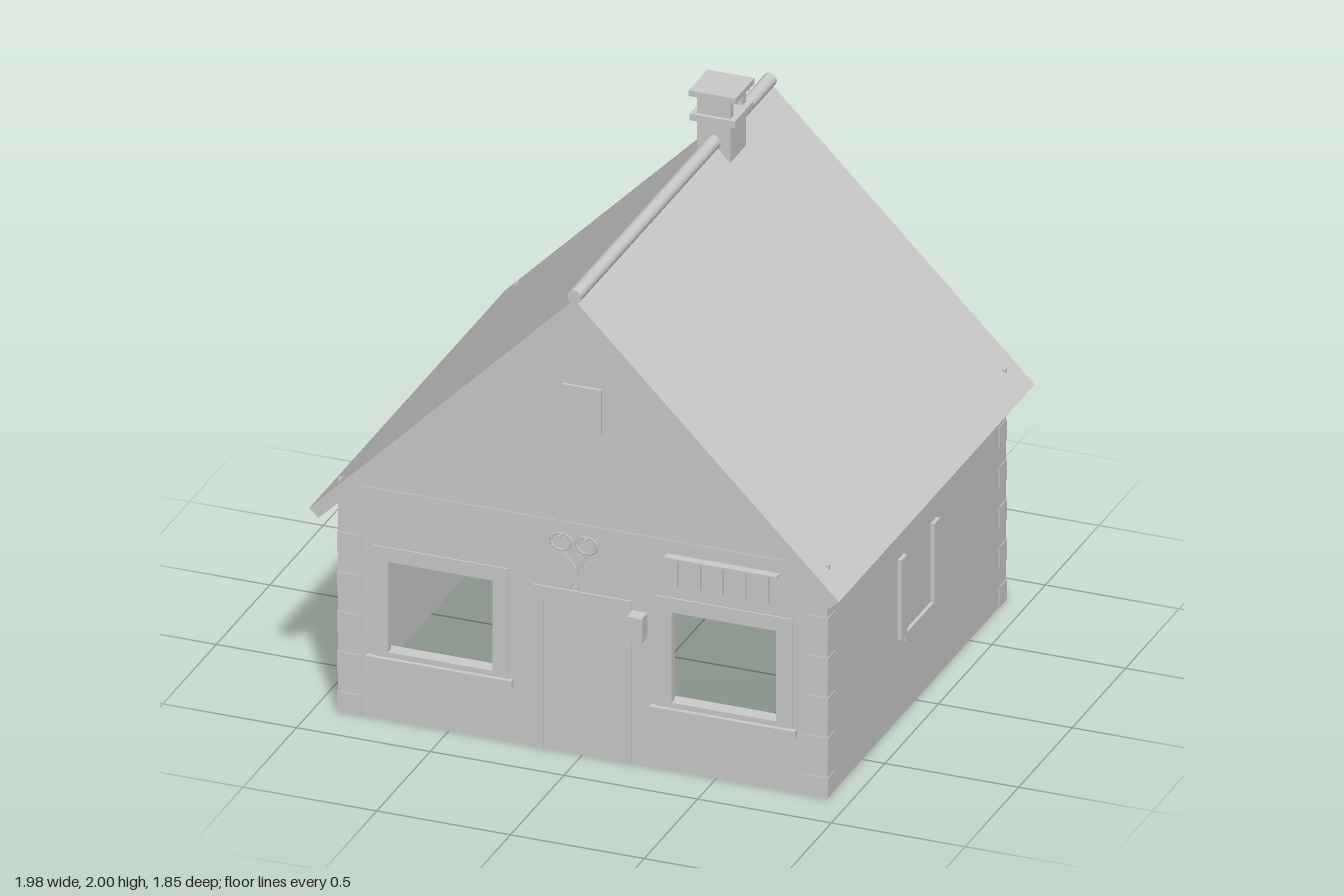
import * as THREE from 'three';

const grey = new THREE.MeshStandardMaterial({ color: 0xcccccc });
grey.name = 'plain grey';

const FRONT = 0.825, BACK = -0.845, SIDE = 0.915, T = 0.02;

function add(parent, name, geometry, x = 0, y = 0, z = 0) {
  const m = new THREE.Mesh(geometry, grey);
  m.name = name;
  m.position.set(x, y, z);
  parent.add(m);
  return m;
}

// box given by its min and max on each axis
function box(parent, name, x0, x1, y0, y1, z0, z1) {
  return add(parent, name, new THREE.BoxGeometry(x1 - x0, y1 - y0, z1 - z0),
    (x0 + x1) / 2, (y0 + y1) / 2, (z0 + z1) / 2);
}

function poly(points) {
  return new THREE.Shape(points.map(([x, y]) => new THREE.Vector2(x, y)));
}

const rect = (x0, x1, y0, y1) => poly([[x0, y0], [x1, y0], [x1, y1], [x0, y1]]);

function plate(shape, depth, holes = []) {
  shape.holes.push(...holes);
  return new THREE.ExtrudeGeometry(shape, { depth, bevelEnabled: false });
}

// closed window with side planks and a sill, facing +z
function shutteredWindow(parent, name, x, z, turn) {
  const g = new THREE.Group();
  g.name = name;
  for (const s of [-1, 1]) {
    const a = s * 0.127, b = s * 0.18;
    box(g, 'sidePlank', Math.min(a, b), Math.max(a, b), 0.31, 0.62, -T, 0.015);
  }
  box(g, 'sill', -0.132, 0.132, 0.285, 0.315, -T, 0.012);
  add(g, 'pane', new THREE.PlaneGeometry(0.26, 0.31), 0, 0.465, -0.001);
  g.position.set(x, 0, z);
  g.rotation.y = turn;
  parent.add(g);
}

function buildWalls(house) {
  const lower = () => poly([[-SIDE, 0], [SIDE, 0], [SIDE, 0.81], [0.835, 0.89], [-0.835, 0.89], [-SIDE, 0.81]]);
  const gable = () => poly([[-0.835, 0.89], [0.835, 0.89], [0, 1.73]]);
  add(house, 'frontWall', plate(lower(), T, [
    rect(-0.725, -0.335, 0.265, 0.615), rect(0.335, 0.725, 0.265, 0.615)]), 0, 0, FRONT - T);
  add(house, 'backWall', plate(lower(), T, [rect(0.3, 0.56, 0.31, 0.62)]), 0, 0, BACK);
  add(house, 'frontGable', plate(gable(), T), 0, 0, FRONT - T - 0.003);
  add(house, 'backGable', plate(gable(), T), 0, 0, BACK + 0.003);
  for (const x of [SIDE, -SIDE + T]) {
    const wall = add(house, 'sideWall', plate(rect(BACK + T, FRONT - T, 0, 0.82), T,
      [rect(-0.1425, 0.1175, 0.31, 0.62)]), x, 0, 0);
    wall.rotation.y = -Math.PI / 2;
  }
  // corner stones on every second row
  for (const s of [-1, 1]) {
    for (const [z0, z1] of [[FRONT - 0.07, FRONT + 0.003], [BACK - 0.003, BACK + 0.07]]) {
      for (let row = 0; row < 5; row++) {
        const y = row * 0.155;
        const a = s * (SIDE + 0.003), b = s * (SIDE - 0.09);
        box(house, 'cornerStone', Math.min(a, b), Math.max(a, b), y, y + 0.078, z0, z1);
      }
    }
  }
}

function buildOpenings(house) {
  for (const s of [-1, 1]) {
    const c = s * 0.53;
    // open front window: thin surround, outer sill, inner shelf
    add(house, 'frontWindowFrame', plate(rect(c - 0.255, c + 0.255, 0.245, 0.67), 0.006,
      [rect(c - 0.195, c + 0.195, 0.265, 0.615)]), 0, 0, FRONT);
    box(house, 'frontWindowSill', c - 0.272, c + 0.272, 0.217, 0.245, FRONT, FRONT + 0.022);
    box(house, 'innerShelf', c - 0.21, c + 0.21, 0.235, 0.26, FRONT - T - 0.04, FRONT - T);
    const p = s * 0.305;
    box(house, 'innerPost', p - 0.02, p + 0.02, 0, 0.89, FRONT - T - 0.03, FRONT - T);
    shutteredWindow(house, 'sideWindow', s * SIDE, -0.0125, s * Math.PI / 2);
  }
  shutteredWindow(house, 'backWindow', 0.43, BACK, Math.PI);

  // doors
  const frame = poly([[-0.185, 0], [-0.145, 0], [-0.145, 0.59], [0.145, 0.59], [0.145, 0],
    [0.185, 0], [0.185, 0.63], [-0.185, 0.63]]);
  add(house, 'frontDoorFrame', plate(frame, 0.008), 0, 0, FRONT);
  add(house, 'innerDoorFrame', plate(frame.clone(), 0.02), 0, 0, FRONT - T - 0.02);
  box(house, 'frontDoor', -0.145, 0.145, 0, 0.59, FRONT, FRONT + 0.004);
  box(house, 'backDoor', -0.655, -0.32, 0, 0.64, BACK - 0.008, BACK);
  box(house, 'atticHatch', -0.072, 0.072, 1.255, 1.427, FRONT - 0.004, FRONT + 0.009);
}

function buildRoof(house) {
  const z0 = -0.925, z1 = 0.905;
  const profile = poly([[-0.99, 0.81], [-0.955, 0.778], [0, 1.717], [0.955, 0.778], [0.99, 0.81], [0, 1.8]]);
  add(house, 'roof', plate(profile, z1 - z0), 0, 0, z0);
  const ridge = add(house, 'ridgeRoll', new THREE.CylinderGeometry(0.026, 0.026, z1 - z0, 24), 0, 1.81, (z0 + z1) / 2);
  ridge.rotation.x = Math.PI / 2;
  // peg heads in the roof corners
  for (const s of [-1, 1]) {
    for (const z of [0.81, -0.838]) {
      box(house, 'roofPeg', s * 0.912 - 0.006, s * 0.912 + 0.006, 0.85, 0.898, z - 0.008, z + 0.008);
    }
  }
}

function buildChimney(house) {
  const g = new THREE.Group();
  g.name = 'chimney';
  g.position.z = -0.473;
  box(g, 'chimneyStack', -0.062, 0.062, 1.74, 1.885, -0.072, 0.072);
  box(g, 'chimneyCollar', -0.085, 0.085, 1.885, 1.91, -0.088, 0.088);
  for (const z of [-0.057, 0.057]) box(g, 'chimneyCheek', -0.062, 0.062, 1.91, 1.978, z - 0.016, z + 0.016);
  box(g, 'chimneyCap', -0.088, 0.088, 1.978, 2, -0.088, 0.088);
  house.add(g);
}

function buildFittings(house) {
  // lantern box on its bracket
  box(house, 'lanternBox', 0.198, 0.255, 0.515, 0.61, 0.855, 0.91);
  box(house, 'lanternBracket', 0.218, 0.234, 0.502, 0.515, FRONT, 0.885);

  // hanging rail with pegs
  box(house, 'railBar', 0.315, 0.738, 0.829, 0.838, FRONT, 0.858);
  for (let i = 0; i < 5; i++) {
    const x = 0.36 + i * 0.085;
    box(house, 'railPeg', x - 0.006, x + 0.006, 0.73, 0.83, 0.844, 0.856);
  }

  // scissors sign
  const sign = new THREE.Group();
  sign.name = 'scissorsSign';
  for (const s of [-1, 1]) {
    const ring = add(sign, 'scissorRing', new THREE.TorusGeometry(0.04, 0.005, 6, 10), s * 0.048, 0.855, 0.907);
    ring.scale.set(1, 0.82, 0.6);
    const pts = [[-0.052, 0.822], [-0.038, 0.822], [0.008, 0.762], [0.02, 0.71], [0.02, 0.668], [-0.012, 0.738]];
    const blade = poly(pts.map(([x, y]) => [x * s, y]));
    add(sign, 'scissorBlade', plate(blade, 0.005), 0, 0, s > 0 ? 0.905 : 0.9);
    box(sign, 'scissorPin', s * 0.048 - 0.003, s * 0.048 + 0.003, 0.878, 0.886, 0.905, 0.925);
  }
  house.add(sign);
}

export function createModel() {
  const house = new THREE.Group();
  house.name = 'house';
  buildWalls(house);
  buildOpenings(house);
  buildRoof(house);
  buildChimney(house);
  buildFittings(house);
  return house;
}
